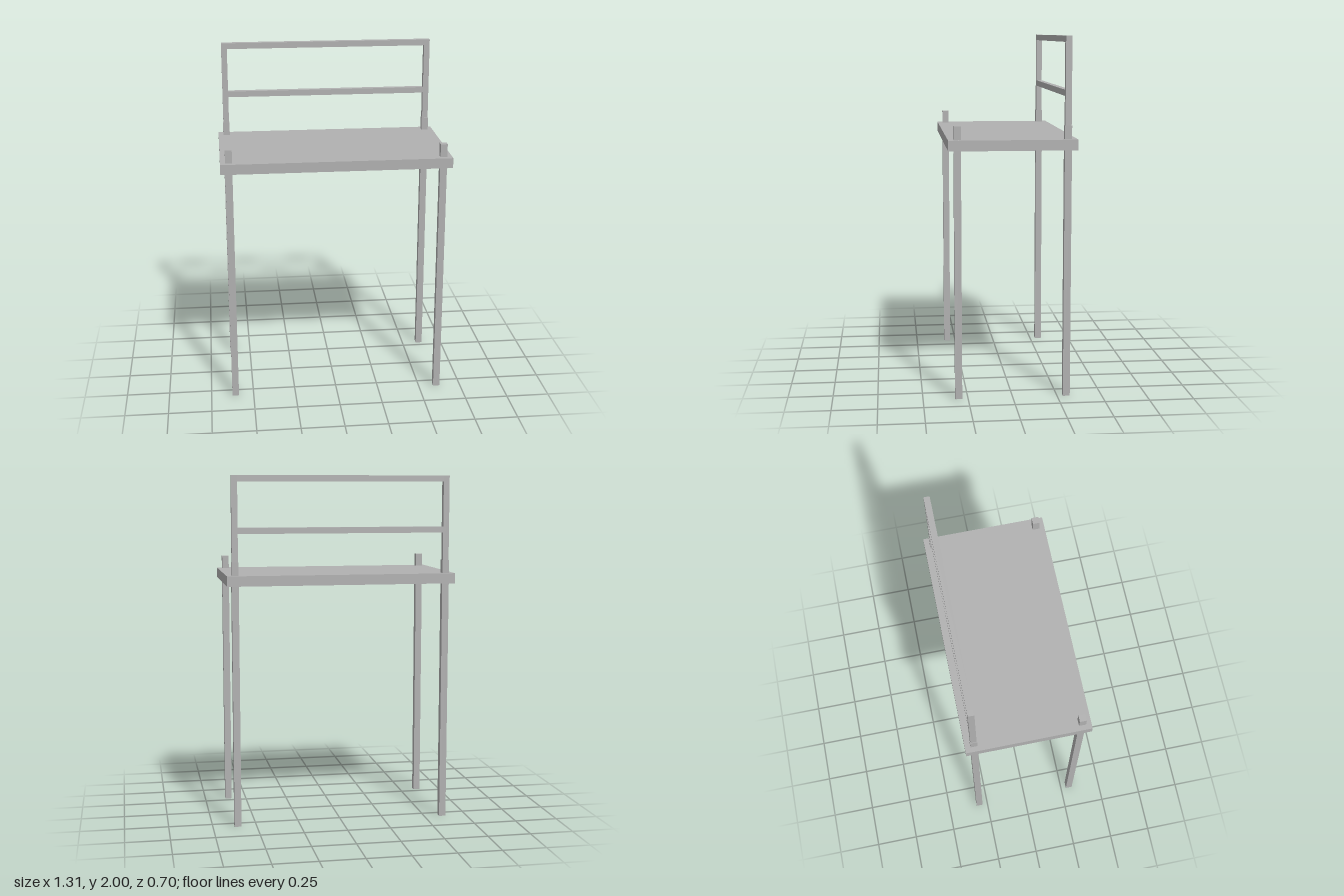
import * as THREE from 'three';

export function createModel() {
  const group = new THREE.Group();
  const grey = new THREE.MeshStandardMaterial({ color: 0xb0b0b0 });
  grey.name = 'plain grey';

  // Box placed by its centre in x and z and its bottom in y
  const addBox = (name, w, h, d, x, bottom, z) => {
    const mesh = new THREE.Mesh(new THREE.BoxGeometry(w, h, d), grey);
    mesh.name = name;
    mesh.position.set(x, bottom + h / 2, z);
    group.add(mesh);
  };

  const legX = 0.607, legZ = 0.302, legSize = 0.039, legTop = 1.518;
  const bar = 0.034;

  // Table top
  addBox('tableTop', 1.31, 0.058, 0.705, 0, 1.386, 0);

  for (const [side, s] of [['left', 1], ['right', -1]]) {
    // Legs, standing proud of the top
    addBox(side + 'FrontLeg', legSize, legTop, legSize, s * legX, 0, legZ);
    addBox(side + 'BackLeg', legSize, legTop, legSize, s * legX, 0, -legZ);
    // Upright of the back frame, rising from the back leg
    addBox(side + 'BackPost', bar, 2 - legTop, bar, s * legX, legTop, -legZ);
  }

  // Cross rails of the back frame
  const span = 2 * legX - bar;
  addBox('topRail', span, bar, bar, 0, 2 - bar, -legZ);
  addBox('middleRail', span, bar, bar, 0, 1.676, -legZ);

  return group;
}
